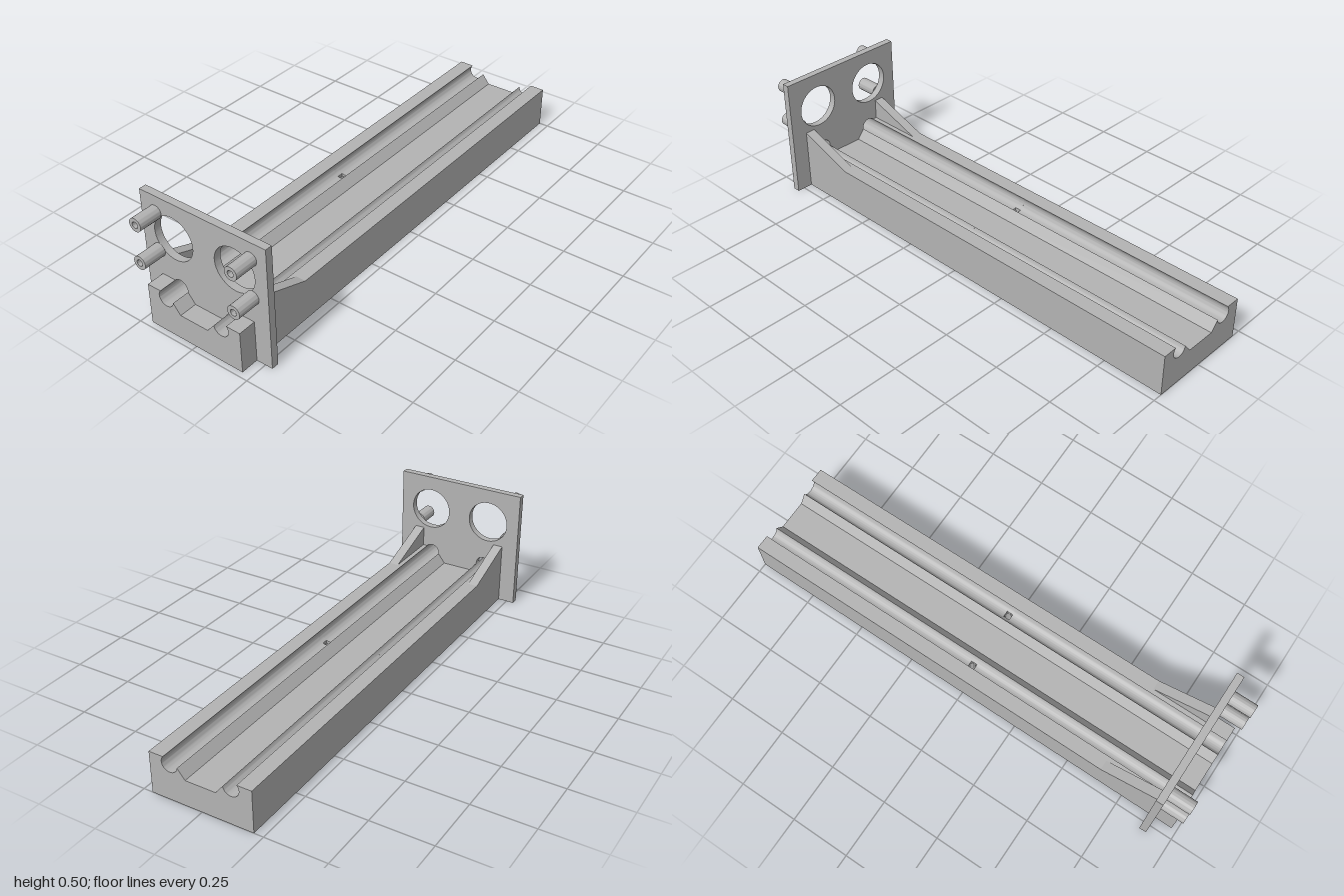
import * as THREE from 'three';
import { toCreasedNormals } from 'three/addons/utils/BufferGeometryUtils.js';

const grey = new THREE.MeshStandardMaterial({ color: 0xb3b3b3 });
grey.name = 'grey';

const X0 = -0.978, X1 = 1;            // ends of the bed
const HALF = 0.212, TOP = 0.172, FLOOR = 0.107;
const GZ = 0.127, GY = 0.15, GR = 0.033; // round groove
const HX = 0.008, HR = 0.013;         // drain holes
const PLATE0 = -0.905, PLATE1 = -0.875;

const circle = (x, y, r) => new THREE.Path().absarc(x, y, r, 0, Math.PI * 2, true);
const polygon = (pts) => new THREE.Shape(pts.map(([x, y]) => new THREE.Vector2(x, y)));

function extrude(shape, depth) {
  return new THREE.ExtrudeGeometry(shape, { depth, bevelEnabled: false, curveSegments: 32 });
}

// Extrudes a (z, y) profile along x from a to b
function alongX(shape, a, b) {
  return extrude(shape, b - a).rotateY(-Math.PI / 2).translate(b, 0, 0);
}

function add(group, name, geometry) {
  const mesh = new THREE.Mesh(toCreasedNormals(geometry, 0.5), grey);
  mesh.name = name;
  group.add(mesh);
}

// Groove surface points from angle a to angle b
function arc(a, b, n) {
  return Array.from({ length: n + 1 }, (_, i) => {
    const t = a + (b - a) * i / n;
    return [GZ + GR * Math.cos(t), GY + GR * Math.sin(t)];
  });
}

// Mirrors a (z, y) outline to the -z side
const mirror = (pts, s) => pts.map(([z, y]) => [s * z, y]);

export function createModel() {
  const model = new THREE.Group();
  model.name = 'grooved bed with end plate';

  // Bed floor slab with two round drain holes
  const slab = polygon([[X0, -HALF], [X1, -HALF], [X1, HALF], [X0, HALF]]);
  slab.holes.push(circle(HX, GZ, HR), circle(HX, -GZ, HR));
  add(model, 'bedFloor', extrude(slab, FLOOR).rotateX(Math.PI / 2).translate(0, FLOOR, 0));

  // Side rails, each with a round groove and an inner slope
  const rim = Math.asin((TOP - GY) / GR);
  const lip = -2 * Math.PI + Math.PI + 0.12;
  const low = -Math.PI / 2, gap = Math.asin(HR / GR);
  const outer = [[HALF, FLOOR], [HALF, TOP]];
  const inner = [[0.063, FLOOR]];
  const full = [...outer, ...arc(rim, lip, 28), ...inner];
  const outerPart = [...outer, ...arc(rim, low + gap, 12), [GZ + HR, FLOOR]];
  const innerPart = [[GZ - HR, FLOOR], ...arc(low - gap, lip, 12), ...inner];
  for (const s of [1, -1]) {
    const rail = new THREE.Group();
    rail.name = s > 0 ? 'frontRail' : 'backRail';
    model.add(rail);
    add(rail, 'railLeft', alongX(polygon(mirror(full, s)), HX + HR, X1));
    add(rail, 'railRight', alongX(polygon(mirror(full, s)), X0, HX - HR));
    // Short stretch left open over the drain hole
    add(rail, 'railOuterBridge', alongX(polygon(mirror(outerPart, s)), HX - HR, HX + HR));
    add(rail, 'railInnerBridge', alongX(polygon(mirror(innerPart, s)), HX - HR, HX + HR));

    // Sloping gusset bracing the end plate
    const wedge = polygon([[PLATE1, TOP], [-0.638, TOP], [PLATE1, 0.257]]);
    add(model, 'gusset', extrude(wedge, 0.041).translate(0, 0, s > 0 ? 0.171 : -HALF));

    // Hollow mounting posts behind the end plate
    for (const y of [0.278, 0.438]) {
      const ring = new THREE.Shape().absarc(s * 0.213, y, 0.027, 0, Math.PI * 2);
      ring.holes.push(circle(s * 0.213, y, 0.013));
      add(model, 'mountingPost', alongX(ring, -1, PLATE0));
    }
  }

  // End plate with two large and two small openings
  const plate = polygon([[-0.281, 0], [0.281, 0], [0.281, 0.505], [-0.281, 0.505]]);
  for (const s of [1, -1]) {
    plate.holes.push(circle(s * 0.138, 0.357, 0.089), circle(s * GZ, GY, GR));
  }
  add(model, 'endPlate', alongX(plate, PLATE0, PLATE1));

  return model;
}
